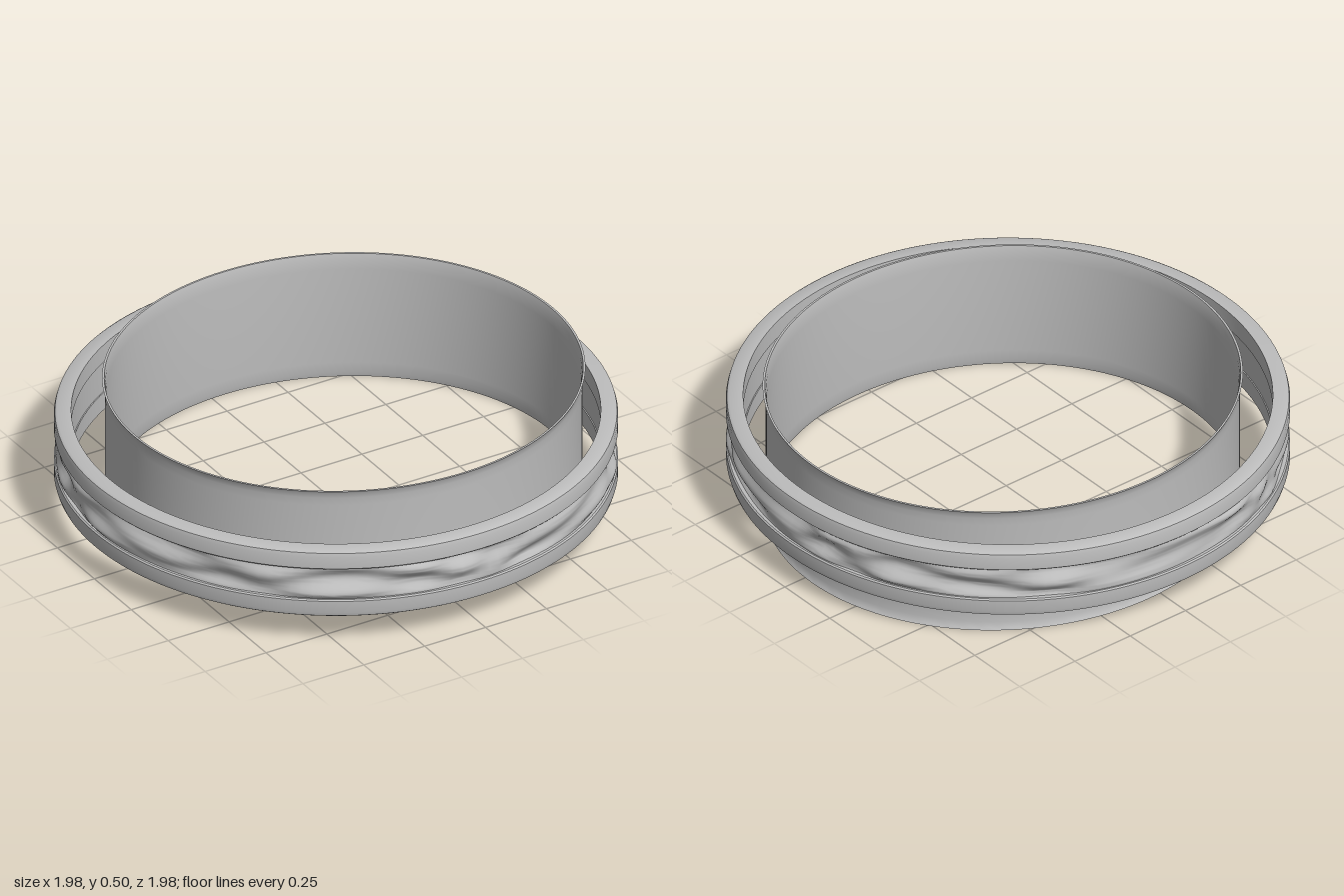
import * as THREE from 'three';
import { toCreasedNormals } from 'three/addons/utils/BufferGeometryUtils.js';

const SEGMENTS = 160;

// Revolve a closed [radius, y] outline, listed counter-clockwise (up the outside, down the inside)
function revolve(outline) {
  const points = [...outline, outline[0]].map(([r, y]) => new THREE.Vector2(r, y));
  return new THREE.LatheGeometry(points, SEGMENTS);
}

// Hammered relief: overlapping diagonal waves around the band, t runs 0..1 up its height
function relief(angle, t) {
  const drift = 0.9 * Math.sin(3 * angle + 0.6) + 0.6 * Math.sin(7 * angle);
  const wave =
    0.5 * Math.sin(9 * angle + 5 * t + drift) +
    0.3 * Math.sin(16 * angle - 7 * t + 2 * drift) +
    0.35 * Math.cos(9 * t + 2 * Math.sin(5 * angle + 1));
  return 0.018 * wave * Math.min(1, Math.sin(Math.PI * t) * 1.8 + 0.15);
}

export function createModel() {
  const metal = new THREE.MeshStandardMaterial({ color: 0xbdbdbd });
  metal.name = 'grey metal';
  const model = new THREE.Group();
  model.name = 'ring';

  const add = (name, geometry, parent) => {
    const mesh = new THREE.Mesh(geometry, metal);
    mesh.name = name;
    parent.add(mesh);
    return mesh;
  };

  // Thin oval inner sleeve with slightly flared lips, sitting off-centre
  const sleeve = add('innerSleeve', toCreasedNormals(revolve([
    [0.86, 0], [0.855, 0.008], [0.851, 0.03], [0.85, 0.06],
    [0.85, 0.44], [0.851, 0.47], [0.855, 0.492], [0.86, 0.5],
    [0.852, 0.5], [0.847, 0.48], [0.845, 0.44],
    [0.845, 0.06], [0.847, 0.02], [0.852, 0],
  ]), 0.5), model);
  sleeve.scale.set(1, 1, 0.951);
  sleeve.position.set(0.05, 0, -0.043);

  // Outer band: two bevelled rims with a textured strip between them
  const band = new THREE.Group();
  band.name = 'outerBand';
  band.position.set(-0.006, 0, -0.003);
  model.add(band);

  const rim = [
    [0.93, 0], [0.978, 0], [0.987, 0.006], [0.991, 0.02],
    [0.991, 0.066], [0.986, 0.071], [0.93, 0.071],
  ];
  add('lowerRim', toCreasedNormals(revolve(rim), 0.6), band).position.y = 0.12;
  const upper = rim.map(([r, y]) => [r, 0.071 - y]).reverse();
  add('upperRim', toCreasedNormals(revolve(upper), 0.6), band).position.y = 0.314;

  // Textured strip, its outer wall displaced by the relief rule
  const low = 0.186, high = 0.319, rows = 18;
  const outline = [];
  for (let i = 0; i <= rows; i++) outline.push([0.977, low + (high - low) * i / rows]);
  outline.push([0.934, high], [0.934, low]);
  const strip = revolve(outline);
  const p = strip.attributes.position;
  for (let i = 0; i < p.count; i++) {
    const x = p.getX(i), z = p.getZ(i), r = Math.hypot(x, z);
    if (r < 0.95) continue;
    const k = 1 + relief(Math.atan2(x, z), (p.getY(i) - low) / (high - low)) / r;
    p.setX(i, x * k);
    p.setZ(i, z * k);
  }
  add('texturedStrip', toCreasedNormals(strip, 0.9), band);

  return model;
}
